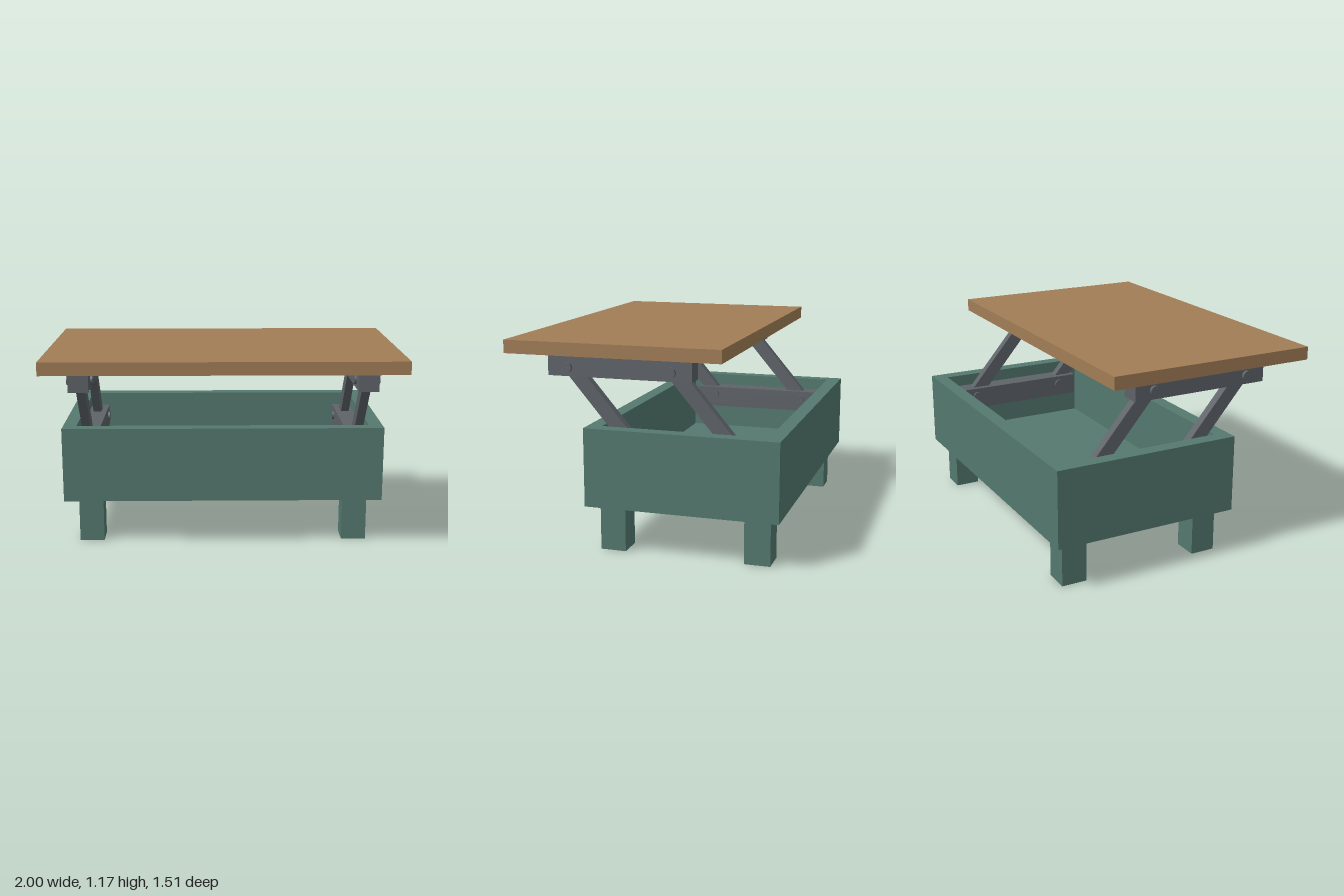
import * as THREE from 'three';

export function createModel() {
  const model = new THREE.Group();
  model.name = 'liftTopTable';

  const material = (name, color) => {
    const m = new THREE.MeshStandardMaterial({ color });
    m.name = name;
    return m;
  };
  const teal = material('teal paint', 0x54796f);
  const wood = material('wood', 0xa17d56);
  const metal = material('grey metal', 0x5e6368);

  const add = (name, geometry, mat) => {
    const mesh = new THREE.Mesh(geometry, mat);
    mesh.name = name;
    model.add(mesh);
    return mesh;
  };
  // Box given by its extents along each axis
  const box = (name, mat, [x0, x1], [y0, y1], [z0, z1]) => {
    const mesh = add(name, new THREE.BoxGeometry(x1 - x0, y1 - y0, z1 - z0), mat);
    mesh.position.set((x0 + x1) / 2, (y0 + y1) / 2, (z0 + z1) / 2);
    return mesh;
  };
  const rectangle = (target, x, z0, z1) => {
    target.moveTo(-x, -z1).lineTo(x, -z1).lineTo(x, -z0).lineTo(-x, -z0).closePath();
    return target;
  };

  // Open storage box: a walled frame on a solid floor
  const frame = rectangle(new THREE.Shape(), 0.942, -0.755, 0.33);
  frame.holes.push(rectangle(new THREE.Path(), 0.862, -0.675, 0.25));
  const walls = new THREE.ExtrudeGeometry(frame, { depth: 0.36, bevelEnabled: false });
  walls.rotateX(-Math.PI / 2);
  add('boxWalls', walls, teal).position.y = 0.345;
  box('boxFloor', teal, [-0.942, 0.942], [0.265, 0.345], [-0.755, 0.33]);

  // Raised tabletop
  box('tabletop', wood, [-1, 1], [1.102, 1.175], [-0.46, 0.755]);

  const upperPins = [0.445, -0.145];
  const upperY = 1.02, lowerY = 0.585, shift = -0.37;

  for (const side of [-1, 1]) {
    const across = (a, b) => (side > 0 ? [a, b] : [-b, -a]);
    const label = side > 0 ? 'left' : 'right';

    // Legs
    box(label + 'FrontLeg', teal, across(0.715, 0.86), [0, 0.265], [0.125, 0.27]);
    box(label + 'BackLeg', teal, across(0.715, 0.86), [0, 0.265], [-0.695, -0.55]);

    // Rails under the tabletop and inside the box
    box(label + 'UpperRail', metal, across(0.75, 0.865), [0.97, 1.102], [-0.26, 0.56]);
    box(label + 'LowerRail', metal, across(0.75, 0.865), [0.505, 0.635], [-0.63, 0.19]);

    // Parallel lifting arms with a pivot pin at each end
    for (const z of upperPins) {
      const rise = upperY - lowerY;
      const arm = add(label + 'LiftArm',
        new THREE.BoxGeometry(0.05, Math.hypot(rise, shift) + 0.04, 0.08), metal);
      arm.position.set(side * 0.81, (upperY + lowerY) / 2, z + shift / 2);
      arm.rotation.x = Math.atan2(-shift, rise);

      for (const [py, pz] of [[upperY, z], [lowerY, z + shift]]) {
        const pin = add(label + 'PivotPin', new THREE.CylinderGeometry(0.028, 0.028, 0.147, 24), metal);
        pin.rotation.z = Math.PI / 2;
        pin.position.set(side * 0.81, py, pz);
      }
    }
  }
  return model;
}
